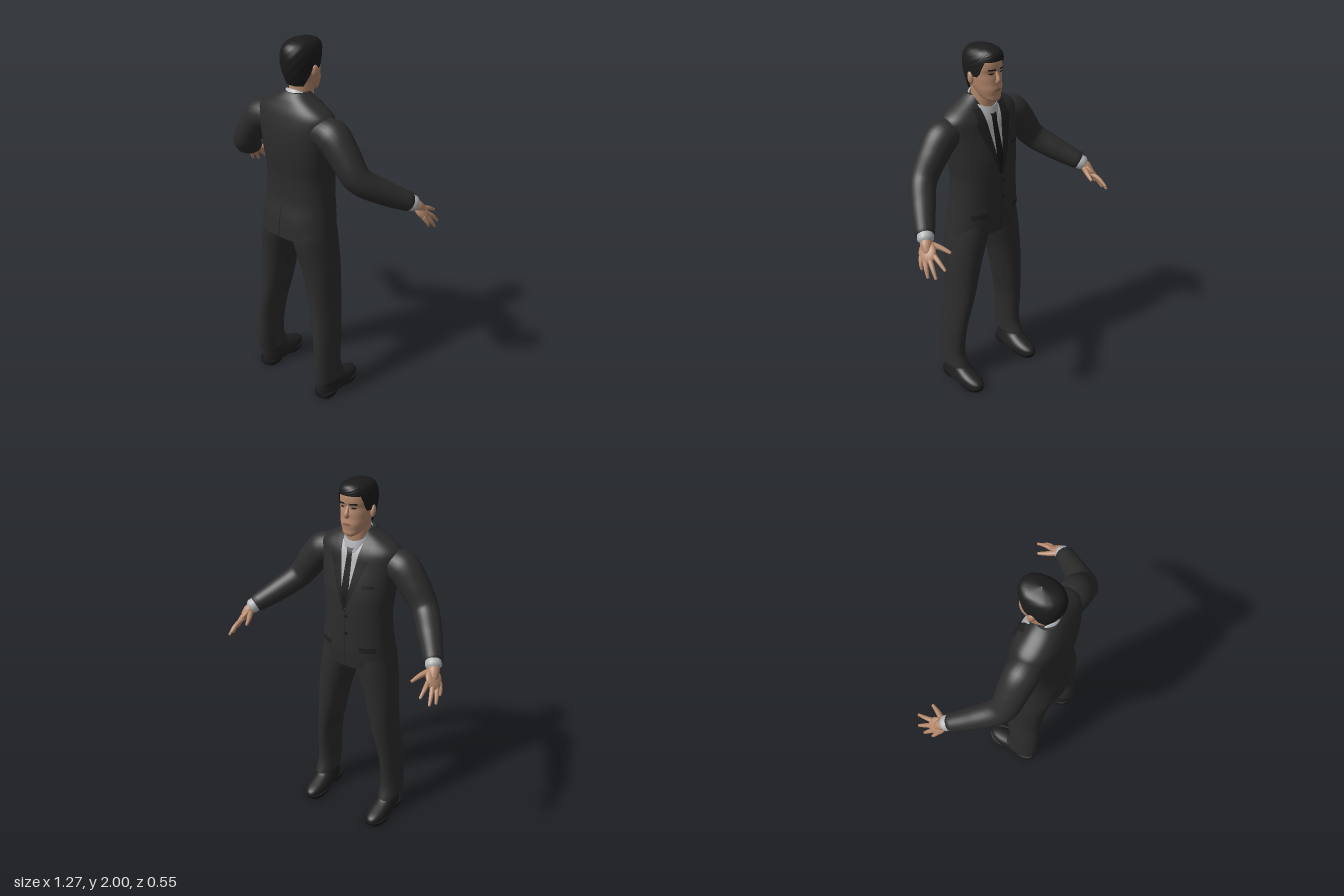
import * as THREE from 'three';

const mat = (name, color) => Object.assign(new THREE.MeshStandardMaterial({ color }), { name });

// Surface through rows of points; closed rows wrap round
function skin(rows, closed = true) {
  const n = rows[0].length, pos = [], idx = [];
  rows.forEach(r => r.forEach(p => pos.push(...p)));
  for (let i = 0; i < rows.length - 1; i++) {
    for (let j = 0; j < (closed ? n : n - 1); j++) {
      const k = (j + 1) % n, a = i * n + j, b = i * n + k, c = a + n, d = b + n;
      idx.push(a, c, b, b, c, d);
    }
  }
  const g = new THREE.BufferGeometry();
  g.setAttribute('position', new THREE.Float32BufferAttribute(pos, 3));
  g.setIndex(idx);
  g.computeVertexNormals();
  return g;
}

// Smoothly interpolated section [y, centre x, half width, front z, back z]
function section(S, y) {
  let i = 0;
  while (i < S.length - 2 && y > S[i + 1][0]) i++;
  const a = S[i], b = S[i + 1], p = S[i - 1] || a, q = S[i + 2] || b, h = b[0] - a[0];
  const t = Math.min(1, Math.max(0, (y - a[0]) / h)), t2 = t * t, t3 = t2 * t;
  return a.map((v, k) => {
    const m0 = (b[k] - p[k]) / (b[0] - p[0]) * h, m1 = (q[k] - a[k]) / (q[0] - a[0]) * h;
    return (2 * t3 - 3 * t2 + 1) * v + (t3 - 2 * t2 + t) * m0 + (3 * t2 - 2 * t3) * b[k] + (t3 - t2) * m1;
  });
}

const pw = (v, e) => Math.sign(v) * Math.abs(v) ** e;
function rim(S, y, t, n) {
  const [, cx, rx, zf, zb] = section(S, y);
  return [cx + rx * pw(Math.cos(t), 2 / n), y, (zf + zb) / 2 + (zb - zf) / 2 * pw(Math.sin(t), 2 / n)];
}

// Upright body lofted through sections, with sharp flat ends
function body(S, n = 2.3, steps = 40, seg = 40) {
  const rows = [], y0 = S[0][0], y1 = S[S.length - 1][0];
  for (let i = 0; i <= steps; i++) {
    const y = y0 + (y1 - y0) * i / steps;
    rows.push(Array.from({ length: seg }, (_, j) => rim(S, y, j / seg * Math.PI * 2, n)));
  }
  const cap = (S, y) => { const s = section(S, y); return Array(seg).fill([s[1], y, (s[3] + s[4]) / 2]); };
  return skin([cap(S, y0), rows[0], ...rows, rows[steps], cap(S, y1)]);
}

// Thin plate following the front (or back) of a body
function patch(S, y0, y1, left, right, off = 0.004, back = false, n = 2.3) {
  const rows = [];
  for (let i = 0; i <= 16; i++) {
    const v = i / 16, y = y0 + (y1 - y0) * v, [, cx, rx, zf, zb] = section(S, y);
    rows.push(Array.from({ length: 9 }, (_, j) => {
      const u = back ? 1 - j / 8 : j / 8, x = left(v) + (right(v) - left(v)) * u;
      const d = (zb - zf) / 2 * Math.max(0, 1 - Math.abs((x - cx) / rx) ** n) ** (1 / n) + off;
      return [x, y, (zf + zb) / 2 + (back ? d : -d)];
    }));
  }
  return skin(rows, false);
}

// Tapered tube through points [x, y, z, radius]
function limb(P, steps = 24, seg = 20) {
  const c = new THREE.CatmullRomCurve3(P.map(p => new THREE.Vector3(p[0], p[1], p[2])));
  const f = c.computeFrenetFrames(steps), rows = [];
  for (let i = 0; i <= steps; i++) {
    const q = i / steps * (P.length - 1), k = Math.min(P.length - 2, Math.floor(q));
    const o = c.getPoint(i / steps), r = P[k][3] + (P[k + 1][3] - P[k][3]) * (q - k);
    const T = c.getTangent(i / steps), N = f.normals[i].clone().addScaledVector(T, -f.normals[i].dot(T)).normalize();
    const B = new THREE.Vector3().crossVectors(T, N);
    const ring = (s, e) => Array.from({ length: seg }, (_, j) => {
      const t = j / seg * Math.PI * 2;
      return o.clone().addScaledVector(N, s * r * Math.cos(t)).addScaledVector(B, -s * r * Math.sin(t))
        .addScaledVector(T, e * r).toArray();
    });
    if (i === 0) rows.push(ring(0, -0.5), ring(0.7, -0.35));
    rows.push(ring(1, 0));
    if (i === steps) rows.push(ring(0.7, 0.35), ring(0, 0.5));
  }
  return skin(rows);
}

const TORSO = [[1, 0, .215, -.03, .268], [1.1, 0, .203, -.04, .257], [1.2, 0, .192, -.04, .238], [1.32, 0, .187, -.04, .236],
  [1.42, 0, .197, -.035, .246], [1.5, 0, .205, -.02, .25], [1.58, 0, .215, 0, .246], [1.64, 0, .22, .015, .235],
  [1.67, 0, .2, .03, .226], [1.7, 0, .15, .048, .213], [1.73, 0, .095, .06, .198], [1.75, 0, .068, .07, .18]];
const HEAD = [[1.733, 0, .022, -.008, .03], [1.745, 0, .042, -.014, .07], [1.765, 0, .056, -.014, .11], [1.795, 0, .067, -.018, .14],
  [1.82, 0, .073, -.014, .16], [1.85, 0, .078, -.012, .175], [1.878, 0, .08, -.008, .182], [1.9, 0, .08, -.015, .184],
  [1.94, 0, .076, -.012, .18], [1.97, 0, .058, .01, .16]];
const HAIR = [[1.77, 0, .066, .01, .158], [1.82, 0, .079, -.012, .18], [1.86, 0, .084, -.016, .194], [1.9, 0, .086, -.02, .2],
  [1.94, 0, .083, -.022, .197], [1.97, 0, .07, -.016, .182], [1.988, 0, .048, .01, .15], [2, 0, .002, .078, .084]];
const LEG = [[.115, .224, .059, .012, .22], [.2, .222, .056, .042, .228], [.4, .21, .056, .025, .225], [.6, .178, .068, 0, .215],
  [.8, .149, .088, -.01, .222], [.9, .128, .099, -.015, .235], [1, .108, .105, -.02, .247], [1.08, .1, .095, -.015, .235]];
const SHOE = [[.022, .216, .06, -.11, .2], [.045, .216, .059, -.108, .2], [.062, .217, .055, -.085, .198], [.08, .218, .05, -.03, .194],
  [.1, .22, .046, .025, .19], [.14, .222, .043, .055, .185]];
const SOLE = [[.004, .215, .06, -.106, .06], [.028, .215, .063, -.113, .06]];
const HEEL = [[0, .218, .054, .08, .202], [.028, .218, .056, .06, .203]];

export function createModel() {
  const root = new THREE.Group();
  const suit = mat('charcoal suit', 0x2c2c2d), trim = mat('dark suit trim', 0x212122), hairM = mat('black hair', 0x1b1b1c);
  const skinM = mat('skin', 0xb4886c), shirt = mat('pale grey shirt', 0xb4b5b8), tieM = mat('black tie', 0x18181a);
  const shoeM = mat('black leather', 0x1f1f20), lipM = mat('lips', 0x96604f), eyeM = mat('dark eye', 0x2a211d);
  [shirt, trim, tieM].forEach(m => { m.side = THREE.DoubleSide; });
  const add = (name, geo, m) => {
    const o = new THREE.Mesh(geo, m);
    o.name = name;
    root.add(o);
    return o;
  };
  const flip = (S, s) => S.map(r => [r[0], r[1] * s, ...r.slice(2)]);
  // Same patch on the side chosen by s
  const sided = (S, s, y0, y1, inner, outer, off) =>
    patch(S, y0, y1, s > 0 ? inner : v => -outer(v), s > 0 ? outer : v => -inner(v), off);

  // Jacket, shirt front and tie
  add('jacket', body(TORSO, 2.3, 60, 56), suit);
  const vee = v => .002 + .058 * v;
  add('shirtFront', patch(TORSO, 1.34, 1.69, v => -vee(v), vee, .002), shirt);
  add('tie', patch(TORSO, 1.34, 1.645, v => -Math.min(vee(v), .026 - .012 * v), v => Math.min(vee(v), .026 - .012 * v), .006), tieM);
  add('tieKnot', patch(TORSO, 1.635, 1.68, v => -.012 - .009 * v, v => .012 + .009 * v, .012), tieM);
  add('frontSeam', patch(TORSO, 1.002, 1.34, () => -.002, () => .002, .003), trim);
  add('backVent', patch(TORSO, 1.002, 1.17, () => -.003, () => .003, .003, true), trim);
  add('breastPocket', patch(TORSO, 1.475, 1.492, () => -.145, () => -.085, .003), trim);
  for (const y of [1.31, 1.21]) {
    const r = v => .009 * Math.sqrt(Math.max(0, 1 - (2 * v - 1) ** 2));
    add('button', patch(TORSO, y - .009, y + .009, v => -.014 - r(v), v => -.014 + r(v), .006), tieM);
  }

  // Neck and open shirt collar, high behind and low in front
  add('neck', body([[1.6, 0, .06, .04, .16], [1.72, 0, .06, .028, .152], [1.82, 0, .062, .025, .15]], 2, 12, 28), skinM);
  const ring = (cz, rx, rz, mid, tilt) => Array.from({ length: 36 }, (_, j) => {
    const t = j / 36 * Math.PI * 2;
    return [rx * Math.cos(t), mid + tilt * Math.sin(t), cz + rz * Math.sin(t)];
  });
  add('shirtCollar', skin([ring(.1, .08, .09, 1.685, .045), ring(.093, .07, .073, 1.73, .033), ring(.092, .064, .066, 1.73, .033)]), shirt);

  // Head, hair and face
  add('head', body(HEAD, 2.15, 40, 40), skinM);
  const hairRows = [];
  for (let i = 0; i <= 24; i++) {
    hairRows.push(Array.from({ length: 48 }, (_, j) => {
      const t = j / 48 * Math.PI * 2, s = Math.sin(t);
      const low = s > .1 ? 1.86 - .08 * Math.min(1, (s - .1) / .5) : s > -.45 ? 1.86 : 1.86 + .078 * Math.min(1, (-s - .45) / .25);
      const v = Math.max(0, i - 1) / 23, p = rim(HAIR, low + (2 - low) * v, t, 2.2);
      const k = i === 0 ? .88 : 1 + .012 * Math.sin(9 * t + 14 * v) * Math.sin(17 * v + 3 * t);
      return [p[0] * k, p[1], .085 + (p[2] - .085) * k];
    }));
  }
  add('hair', skin(hairRows), hairM);
  add('nose', limb([[0, 1.885, -.004, .007], [0, 1.865, -.014, .009], [0, 1.845, -.021, .012], [0, 1.833, -.012, .012]], 14, 14), skinM);
  const lens = v => .023 * Math.sin(Math.PI * v) ** .7;
  add('lips', patch(HEAD, 1.788, 1.803, v => -lens(v), lens, .003, false, 2.15), lipM);

  for (const s of [1, -1]) {
    const side = s > 0 ? 'left' : 'right';
    const M = p => [p[0] * s, ...p.slice(1)];
    const arc = v => .014 * Math.sin(Math.PI * v);
    add(side + 'Eye', sided(HEAD, s, 1.873, 1.883, v => .032 - arc(v), v => .032 + arc(v), .003), eyeM);
    add(side + 'Eyebrow', sided(HEAD, s, 1.894, 1.902, () => .014, () => .05, .003), hairM);
    const ear = add(side + 'Ear', new THREE.SphereGeometry(1, 16, 12), skinM);
    ear.scale.set(.013, .031, .019);
    ear.position.set(s * .085, 1.85, .085);
    ear.rotation.set(.2, s * -.3, 0);

    // Lapel, pocket flap and hem details
    add(side + 'Lapel', sided(TORSO, s, 1.33, 1.7, vee, v => vee(v) + .062 * Math.min(1, v * 1.3) * (v > .82 ? .72 : 1), .007), trim);
    add(side + 'PocketFlap', sided(TORSO, s, 1.11, 1.14, () => .085, () => .165, .004), trim);

    // Sleeve and cuff
    add(side + 'Sleeve', limb([[.15, 1.585, .135, .075], [.235, 1.57, .132, .086], [.3, 1.5, .128, .08], [.38, 1.39, .112, .069],
      [.46, 1.315, .02, .062], [.54, 1.25, -.088, .049]].map(M), 40, 28), suit);
    add(side + 'Cuff', limb([[.525, 1.262, -.07, .04], [.556, 1.235, -.114, .04]].map(M), 4, 20), shirt);

    // Hand with spread fingers
    add(side + 'Wrist', limb([[.54, 1.245, -.09, .03], [.565, 1.218, -.13, .03], [.58, 1.19, -.155, .02]].map(M), 10, 16), skinM);
    const across = new THREE.Vector3(s * .04, -.03, .065).normalize();
    const along = new THREE.Vector3(s * .04, -.065, -.06);
    along.addScaledVector(across, -along.dot(across)).normalize();
    const palmUp = new THREE.Vector3().crossVectors(across, along);
    const palm = new THREE.SphereGeometry(1, 20, 14).scale(.046, .056, .019);
    palm.applyMatrix4(new THREE.Matrix4().makeBasis(across, along, palmUp).setPosition(s * .578, 1.19, -.15));
    add(side + 'Palm', palm, skinM);
    const digits = {
      Thumb: [[.548, 1.215, -.135, .017], [.522, 1.205, -.18, .013], [.502, 1.19, -.228, .008]],
      IndexFinger: [[.565, 1.19, -.17, .014], [.572, 1.172, -.225, .011], [.573, 1.145, -.272, .007]],
      MiddleFinger: [[.582, 1.178, -.165, .014], [.602, 1.142, -.215, .011], [.612, 1.105, -.25, .007]],
      RingFinger: [[.595, 1.17, -.15, .014], [.616, 1.128, -.185, .011], [.626, 1.095, -.207, .007]],
      LittleFinger: [[.602, 1.168, -.132, .012], [.617, 1.138, -.148, .01], [.622, 1.115, -.158, .006]],
    };
    for (const [d, P] of Object.entries(digits)) add(side + d, limb(P.map(M), 10, 12), skinM);

    // Trouser leg and shoe
    add(side + 'TrouserLeg', body(flip(LEG, s), 2.1, 40, 32), suit);
    add(side + 'Shoe', body(flip(SHOE, s), 2.2, 20, 36), shoeM);
    add(side + 'Sole', body(flip(SOLE, s), 2.2, 2, 36), tieM);
    add(side + 'Heel', body(flip(HEEL, s), 2.6, 2, 32), tieM);
  }
  return root;
}
